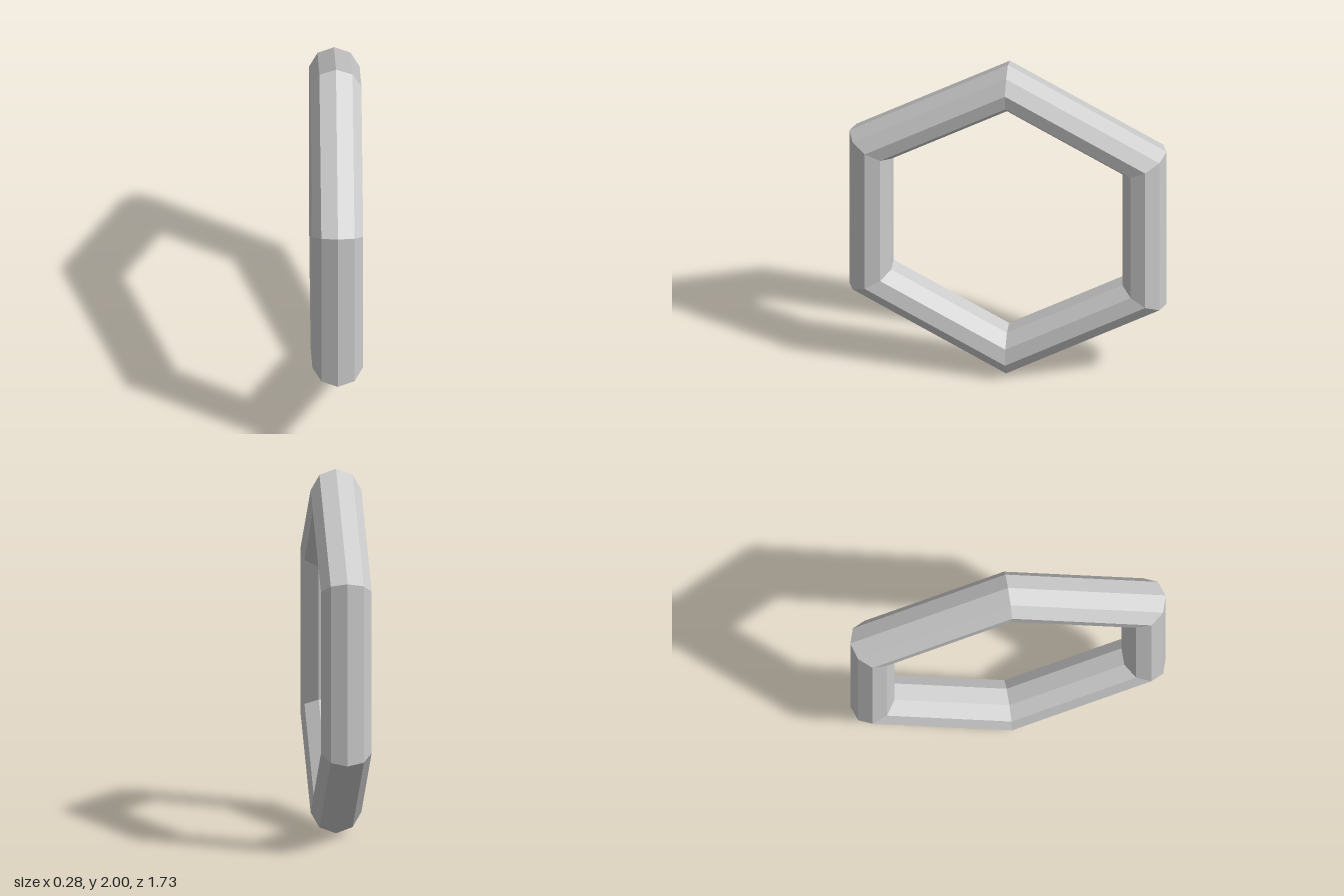
import * as THREE from 'three';

export function createModel() {
  const group = new THREE.Group();
  const material = new THREE.MeshStandardMaterial({ color: 0xcccccc, flatShading: true });

  // Six-sided ring with a nine-sided tube, its axis along x and a corner at the top
  const geometry = new THREE.TorusGeometry(0.86, 0.14, 9, 6);
  geometry.rotateZ(Math.PI / 2);
  geometry.rotateY(Math.PI / 2);

  const ring = new THREE.Mesh(geometry, material);
  ring.name = 'hexagonalRing';
  ring.position.y = 1;
  group.add(ring);
  return group;
}
